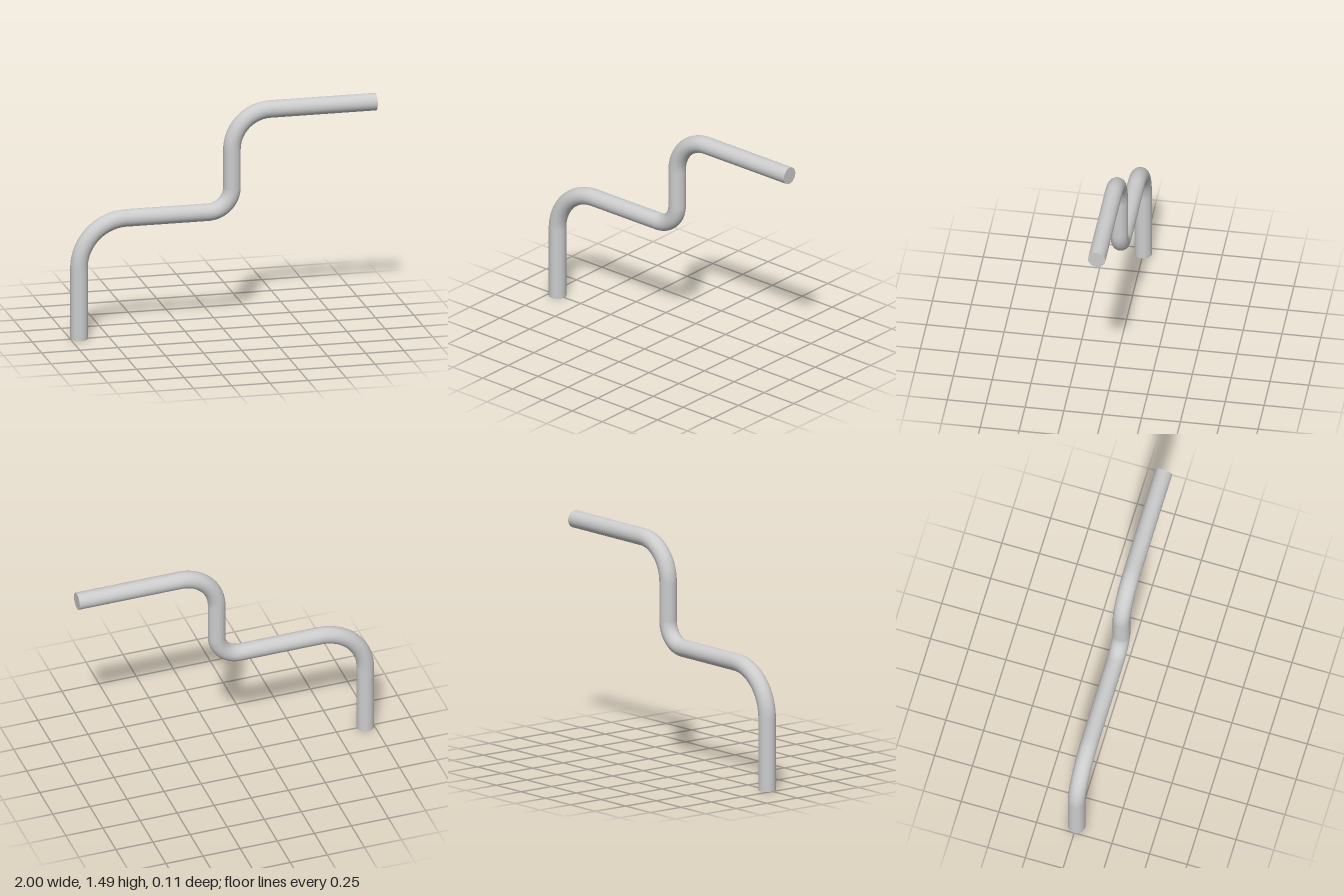
import * as THREE from 'three';
import { mergeGeometries } from 'three/addons/utils/BufferGeometryUtils.js';

const RADIUS = 0.056;
const SIDES = 48;

// Quarter-circle fillet at a corner, turning from direction a to direction b
class BendCurve extends THREE.Curve {
  constructor(corner, a, b, radius) {
    super();
    Object.assign(this, { a, b, radius });
    this.center = corner.clone().addScaledVector(a, -radius).addScaledVector(b, radius);
  }
  getPoint(t, target = new THREE.Vector3()) {
    const angle = t * Math.PI / 2;
    return target.copy(this.center)
      .addScaledVector(this.b, -this.radius * Math.cos(angle))
      .addScaledVector(this.a, this.radius * Math.sin(angle));
  }
}

// Flat disc closing a pipe end, facing along dir
function endCap(position, dir) {
  const cap = new THREE.CircleGeometry(RADIUS, SIDES);
  cap.applyQuaternion(new THREE.Quaternion().setFromUnitVectors(new THREE.Vector3(0, 0, 1), dir));
  return cap.translate(position.x, position.y, position.z);
}

export function createModel() {
  const group = new THREE.Group();
  group.name = 'bentPipe';
  const material = new THREE.MeshStandardMaterial({ color: 0xcccccc });

  // Centre line corners: x, y, bend radius
  const corners = [
    [-0.944, 0, 0],
    [-0.944, 0.78, 0.31],
    [0.058, 0.78, 0.157],
    [0.058, 1.436, 0.25],
    [1, 1.436, 0],
  ];
  const points = corners.map(([x, y]) => new THREE.Vector3(x, y, 0));
  const dirs = points.slice(1).map((p, i) => p.clone().sub(points[i]).normalize());

  // Straight runs and the bends between them
  const parts = [];
  dirs.forEach((dir, i) => {
    const start = points[i].clone().addScaledVector(dir, corners[i][2]);
    const end = points[i + 1].clone().addScaledVector(dir, -corners[i + 1][2]);
    parts.push(new THREE.TubeGeometry(new THREE.LineCurve3(start, end), 1, RADIUS, SIDES));
    if (i < dirs.length - 1) {
      const bend = new BendCurve(points[i + 1], dir, dirs[i + 1], corners[i + 1][2]);
      parts.push(new THREE.TubeGeometry(bend, 24, RADIUS, SIDES));
    }
  });

  // Closed ends
  parts.push(endCap(points[0], dirs[0].clone().negate()));
  parts.push(endCap(points[4], dirs[3]));

  const pipe = new THREE.Mesh(mergeGeometries(parts), material);
  pipe.name = 'pipe';
  group.add(pipe);
  return group;
}
